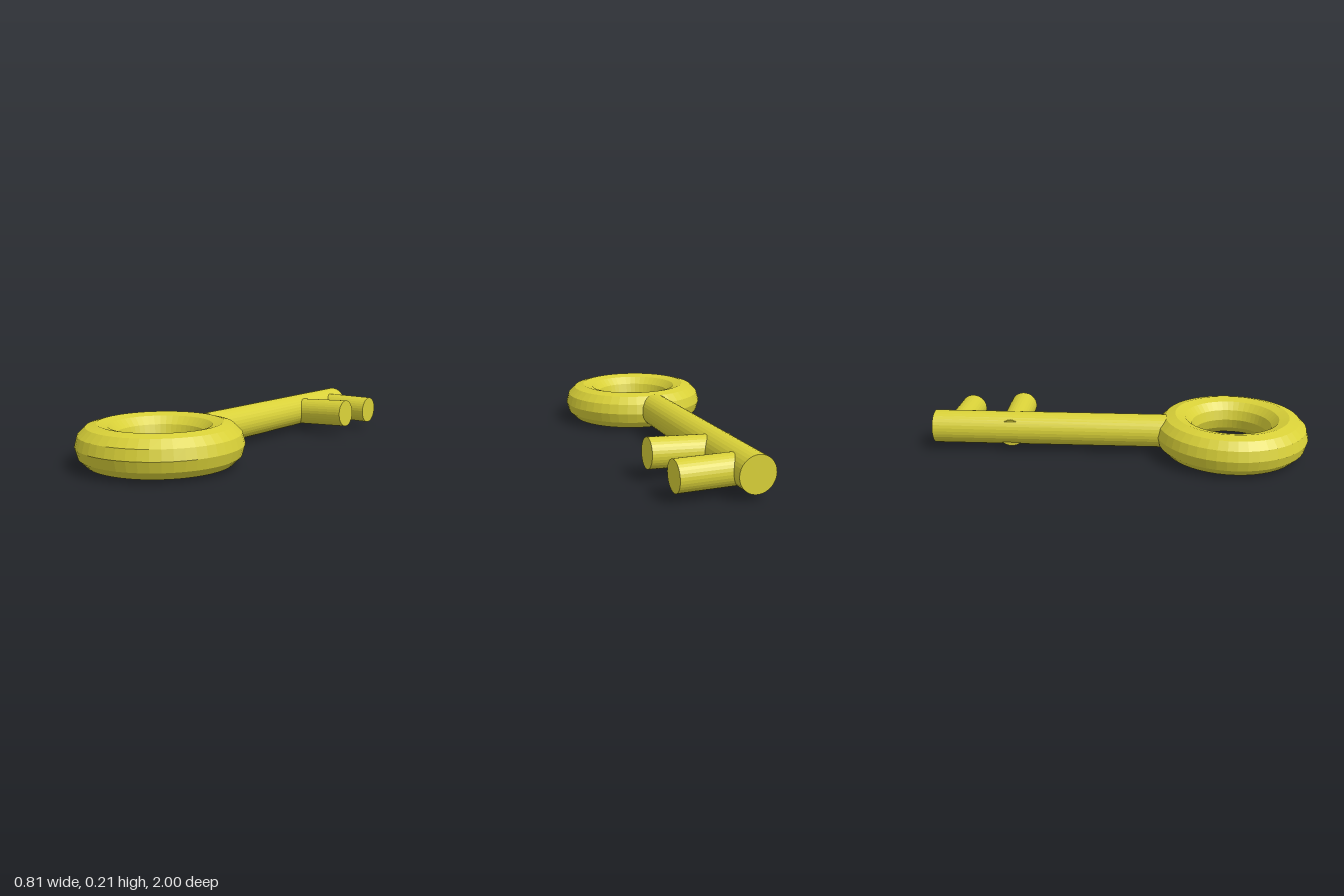
import * as THREE from 'three';

const material = new THREE.MeshStandardMaterial({ color: 0xd8d038, flatShading: true });
const UP = new THREE.Vector3(0, 1, 0);

// Closed round rod between two points
function rod(name, from, to, radius) {
  const a = new THREE.Vector3(...from);
  const b = new THREE.Vector3(...to);
  const dir = b.clone().sub(a);
  const mesh = new THREE.Mesh(new THREE.CylinderGeometry(radius, radius, dir.length(), 32), material);
  mesh.name = name;
  mesh.position.copy(a).add(b).multiplyScalar(0.5);
  mesh.quaternion.setFromUnitVectors(UP, dir.normalize());
  return mesh;
}

export function createModel() {
  const key = new THREE.Group();
  key.name = 'key';

  // Ring handle lying flat
  const ring = new THREE.Mesh(new THREE.TorusGeometry(0.3, 0.104, 12, 48), material);
  ring.name = 'ringHandle';
  ring.rotation.x = Math.PI / 2;
  ring.position.set(0, 0.104, 0.596);
  key.add(ring);

  // Shaft running back from the ring
  key.add(rod('shaft', [-0.016, 0.113, 0.25], [-0.016, 0.116, -1], 0.088));

  // Two teeth on the left side; the inner one tilts up slightly and pokes out under the shaft
  key.add(rod('endTooth', [-0.03, 0.11, -0.875], [0.313, 0.11, -0.875], 0.074));
  key.add(rod('innerTooth', [-0.08, 0.106, -0.58], [0.326, 0.127, -0.58], 0.074));

  return key;
}
